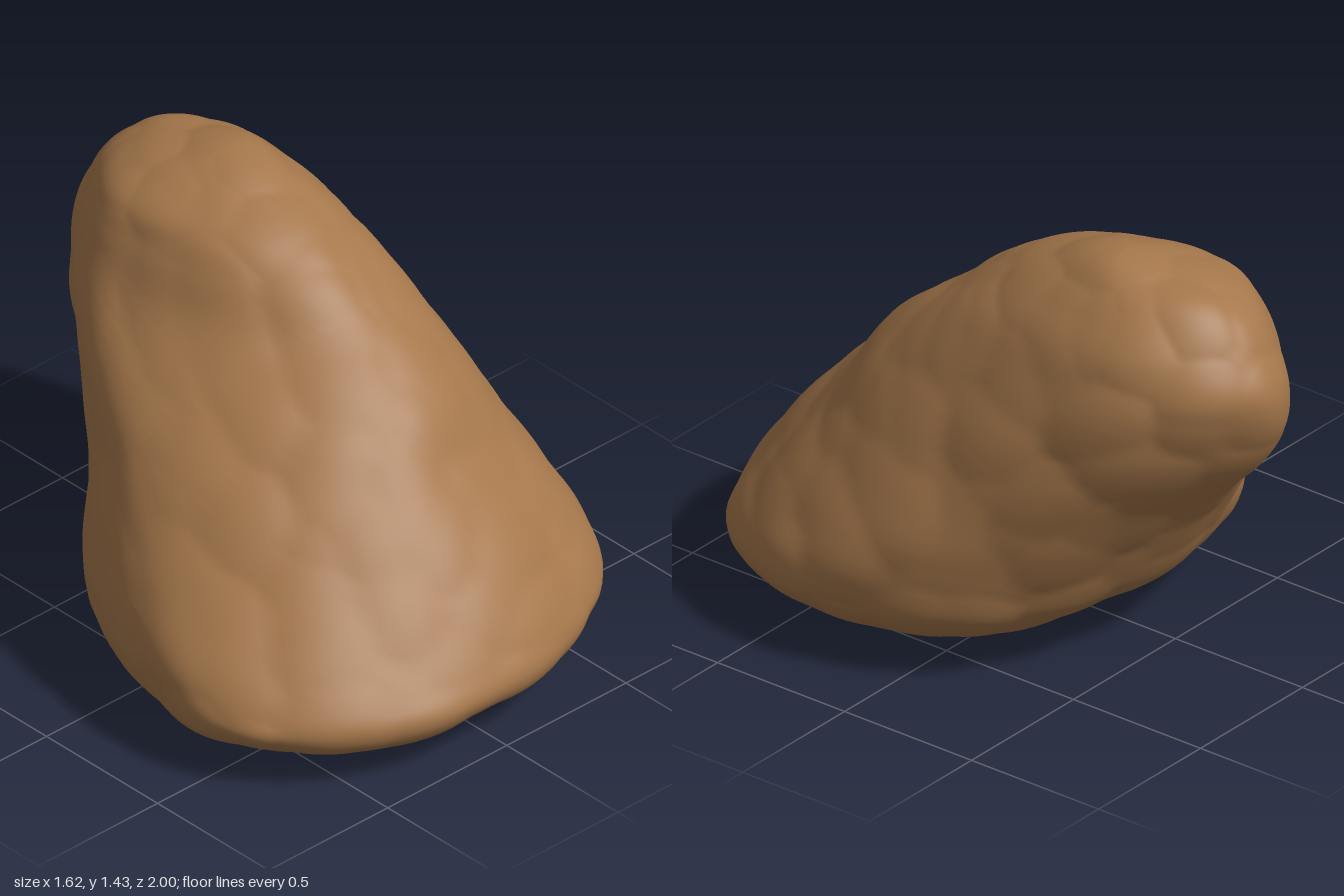
import * as THREE from 'three';
import { mergeVertices } from 'three/addons/utils/BufferGeometryUtils.js';

// Horizontal sections, bottom to top: y, lowest x, highest x, z front, z back, z of widest point, x of ridge
const SECTIONS = [
  [0.00, 0.05, 0.05, 0.18, 0.18, 0.18, 0.05],
  [0.03, -0.40, 0.45, 0.60, -0.08, 0.22, 0.02],
  [0.07, -0.66, 0.59, 0.84, -0.23, 0.27, -0.03],
  [0.14, -0.78, 0.74, 0.98, -0.36, 0.30, -0.08],
  [0.21, -0.81, 0.80, 1.01, -0.45, 0.30, -0.09],
  [0.30, -0.80, 0.81, 0.97, -0.52, 0.24, -0.06],
  [0.45, -0.71, 0.77, 0.86, -0.61, 0.08, 0.00],
  [0.60, -0.61, 0.71, 0.73, -0.72, -0.05, 0.03],
  [0.76, -0.51, 0.65, 0.58, -0.87, -0.18, 0.07],
  [0.90, -0.40, 0.60, 0.46, -0.965, -0.32, 0.10],
  [1.08, -0.25, 0.53, 0.24, -1.00, -0.50, 0.16],
  [1.20, -0.19, 0.48, 0.10, -0.95, -0.54, 0.16],
  [1.29, -0.14, 0.41, -0.04, -0.88, -0.54, 0.16],
  [1.355, -0.03, 0.35, -0.20, -0.79, -0.52, 0.17],
  [1.395, 0.06, 0.30, -0.31, -0.65, -0.48, 0.18],
  [1.417, 0.13, 0.25, -0.40, -0.52, -0.46, 0.19],
  [1.423, 0.19, 0.19, -0.45, -0.45, -0.45, 0.19],
];
// At rising heights: fullness of the four corners (+x+z, +x-z, -x-z, -x+z), then forward shift of the -x side
const CORNERS = [
  [0.00, 1.03, 1.05, 1.00, 1.02, 0.00],
  [0.20, 1.03, 1.05, 1.00, 1.02, 0.14],
  [0.50, 1.04, 0.99, 0.94, 1.01, 0.08],
  [0.75, 1.05, 0.97, 0.88, 1.00, 0.05],
  [1.10, 1.06, 0.96, 0.94, 1.00, 0.00],
  [1.43, 1.03, 0.96, 0.94, 1.00, 0.00],
];
const AROUND = 112, UP = 128;

function cornerValue(y, column) {
  const k = Math.max(1, CORNERS.findIndex(row => row[0] >= y));
  const low = CORNERS[k - 1], high = CORNERS[k];
  return THREE.MathUtils.mapLinear(y, low[0], high[0], low[column], high[column]);
}

// Rounded outline of one section, starting at the front
function outline([y, xMin, xMax, zFront, zBack, zMid, xMid]) {
  const points = [];
  for (let k = 0; k < 8; k++) {
    const a = k * Math.PI / 4;
    const full = k % 2 ? cornerValue(y, (k + 1) / 2) : 1;
    const shift = k === 6 ? cornerValue(y, 5) : 0;
    const s = Math.sin(a) * full, c = Math.cos(a) * full;
    points.push(new THREE.Vector3(
      xMid + s * (s > 0 ? xMax - xMid : xMid - xMin), y,
      zMid + shift + c * (c > 0 ? zFront - zMid : zMid - zBack)));
  }
  return new THREE.CatmullRomCurve3(points, true, 'catmullrom', 0.5);
}

// Seeded scatter of chip centres for the lumpy surface
function chipCentres(count) {
  let seed = 17;
  const rand = () => (seed = (seed * 16807) % 2147483647) / 2147483647;
  return Array.from({ length: count }, () =>
    new THREE.Vector3(rand() * 1.8 - 0.9, rand() * 1.5, rand() * 2.1 - 1.05));
}

function boulderGeometry() {
  // Skin of columns running from the base pole to the top pole
  const rings = SECTIONS.map(outline);
  const columns = Array.from({ length: AROUND }, (_, i) =>
    new THREE.CatmullRomCurve3(rings.map(r => r.getPoint(i / AROUND)), false, 'centripetal'));
  const positions = [], index = [];
  for (let j = 0; j <= UP; j++) {
    for (let i = 0; i < AROUND; i++) {
      const p = columns[i].getPoint(j / UP);
      positions.push(p.x, p.y, p.z);
      const next = (i + 1) % AROUND, a = j * AROUND, b = a + AROUND;
      if (j > 0 && j < UP) index.push(a + i, a + next, b + i);
      if (j < UP - 1) index.push(a + next, b + next, b + i);
    }
  }
  let geometry = new THREE.BufferGeometry();
  geometry.setAttribute('position', new THREE.Float32BufferAttribute(positions, 3));
  geometry.setIndex(index);
  geometry = mergeVertices(geometry, 1e-5);
  geometry.computeVertexNormals();

  // Shallow chips: slightly raised at each centre, creased between, fading out underneath
  const centres = chipCentres(500);
  const pos = geometry.attributes.position, nor = geometry.attributes.normal;
  const p = new THREE.Vector3(), n = new THREE.Vector3();
  for (let i = 0; i < pos.count; i++) {
    p.fromBufferAttribute(pos, i);
    n.fromBufferAttribute(nor, i);
    let nearest = 1;
    for (const c of centres) nearest = Math.min(nearest, p.distanceToSquared(c));
    const fade = THREE.MathUtils.clamp(p.y / 0.1, 0, 1);
    p.addScaledVector(n, 0.45 * fade * (0.018 - Math.min(nearest, 0.045)));
    pos.setXYZ(i, p.x, p.y, p.z);
  }
  geometry.computeVertexNormals();
  return geometry;
}

export function createModel() {
  const group = new THREE.Group();
  group.name = 'leaningBoulder';
  const stone = new THREE.MeshStandardMaterial({ color: 0xa5774b });
  stone.name = 'brownStone';
  const boulder = new THREE.Mesh(boulderGeometry(), stone);
  boulder.name = 'boulder';
  group.add(boulder);
  return group;
}
